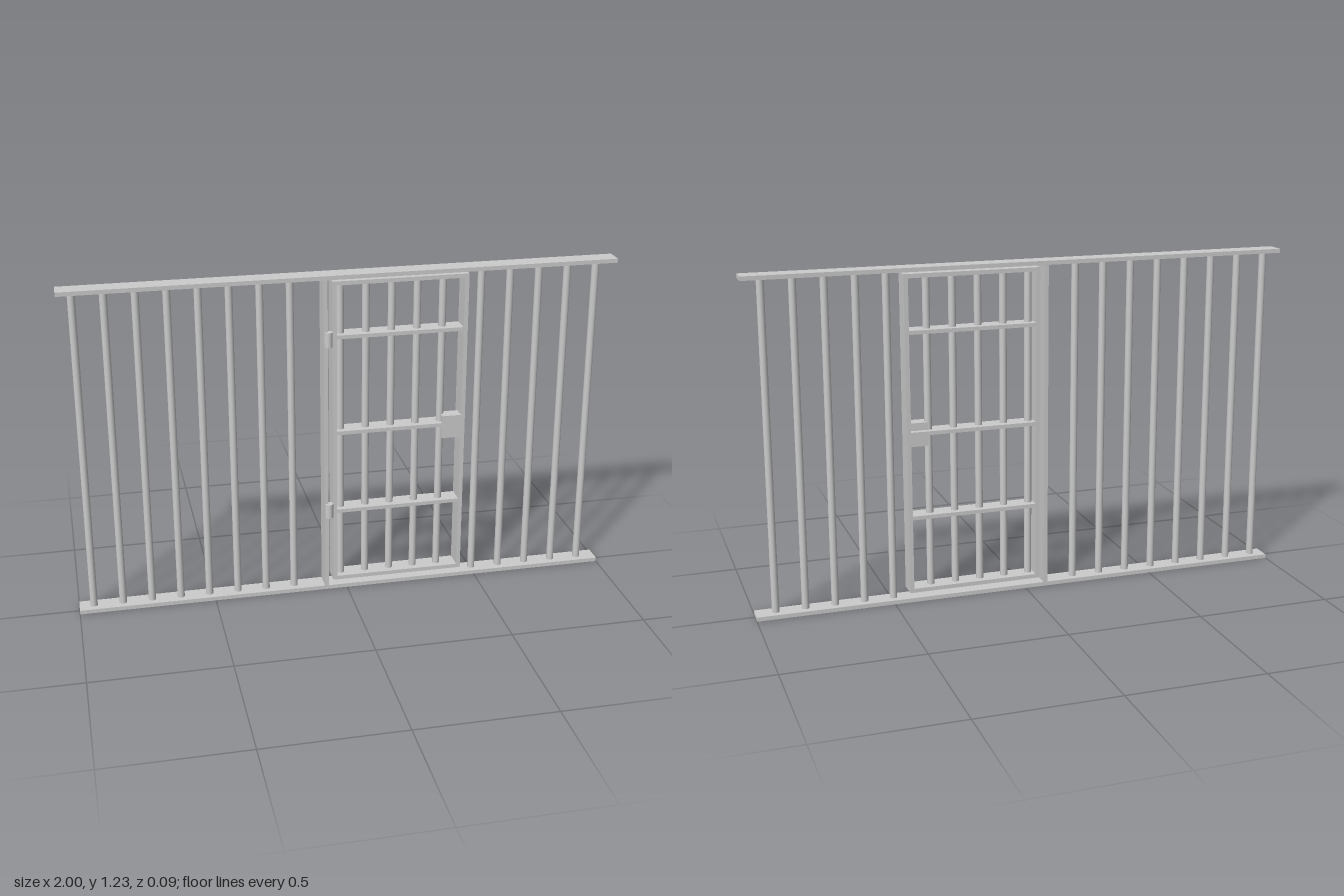
import * as THREE from 'three';

const material = new THREE.MeshStandardMaterial({ color: 0xcccccc });
const BACK = -0.043, FRONT = 0.028, BAR_Z = -0.007, BAR_R = 0.0135;

// Box given by its limits on each axis
function box(parent, name, x0, x1, y0, y1, z0 = BACK, z1 = FRONT) {
  const mesh = new THREE.Mesh(new THREE.BoxGeometry(x1 - x0, y1 - y0, z1 - z0), material);
  mesh.position.set((x0 + x1) / 2, (y0 + y1) / 2, (z0 + z1) / 2);
  mesh.name = name;
  parent.add(mesh);
}

// Upright cylinder between two heights
function rod(parent, name, x, y0, y1, z = BAR_Z, r = BAR_R) {
  const mesh = new THREE.Mesh(new THREE.CylinderGeometry(r, r, y1 - y0, 20), material);
  mesh.position.set(x, (y0 + y1) / 2, z);
  mesh.name = name;
  parent.add(mesh);
}

export function createModel() {
  const model = new THREE.Group();
  model.name = 'barredWall';

  // Floor and ceiling rails
  box(model, 'bottomRail', -1, 1, 0, 0.015);
  box(model, 'topRail', -1, 1, 1.21, 1.225);

  // Fixed bars on both sides of the door
  const wall = new THREE.Group();
  wall.name = 'fixedBars';
  for (let i = 0; i < 8; i++) rod(wall, 'fixedBar', -0.947 + i * 0.107, 0.015, 1.21);
  for (let i = 0; i < 5; i++) rod(wall, 'fixedBar', 0.498 + i * 0.1075, 0.015, 1.21);
  model.add(wall);

  // Post that carries the hinges
  box(model, 'hingePost', -0.085, -0.07, 0.015, 1.21);

  // Door frame
  const door = new THREE.Group();
  door.name = 'door';
  const left = -0.053, right = 0.443, bottom = 0.036, top = 1.204, t = 0.015;
  box(door, 'doorStile', left, left + t, bottom, top);
  box(door, 'doorStile', right - t, right, bottom, top);
  box(door, 'doorBottomRail', left + t, right - t, bottom, bottom + t);
  box(door, 'doorTopRail', left + t, right - t, top - t, top);

  // Door bars and flat crossbars
  for (let i = 0; i < 5; i++) rod(door, 'doorBar', -0.019 + i * 0.0938, bottom + t, top - t);
  for (const y of [0.32, 0.632, 0.998]) {
    box(door, 'crossbar', left + t, right - t, y - 0.007, y + 0.007, BACK + 0.001, FRONT - 0.002);
  }

  // Lock case
  box(door, 'lockCase', 0.357, 0.433, 0.58, 0.667, -0.02, FRONT + 0.0005);
  model.add(door);

  // Hinge barrels
  for (const y of [0.3, 0.966]) rod(model, 'hinge', -0.068, y, y + 0.055, FRONT, 0.015);

  return model;
}
